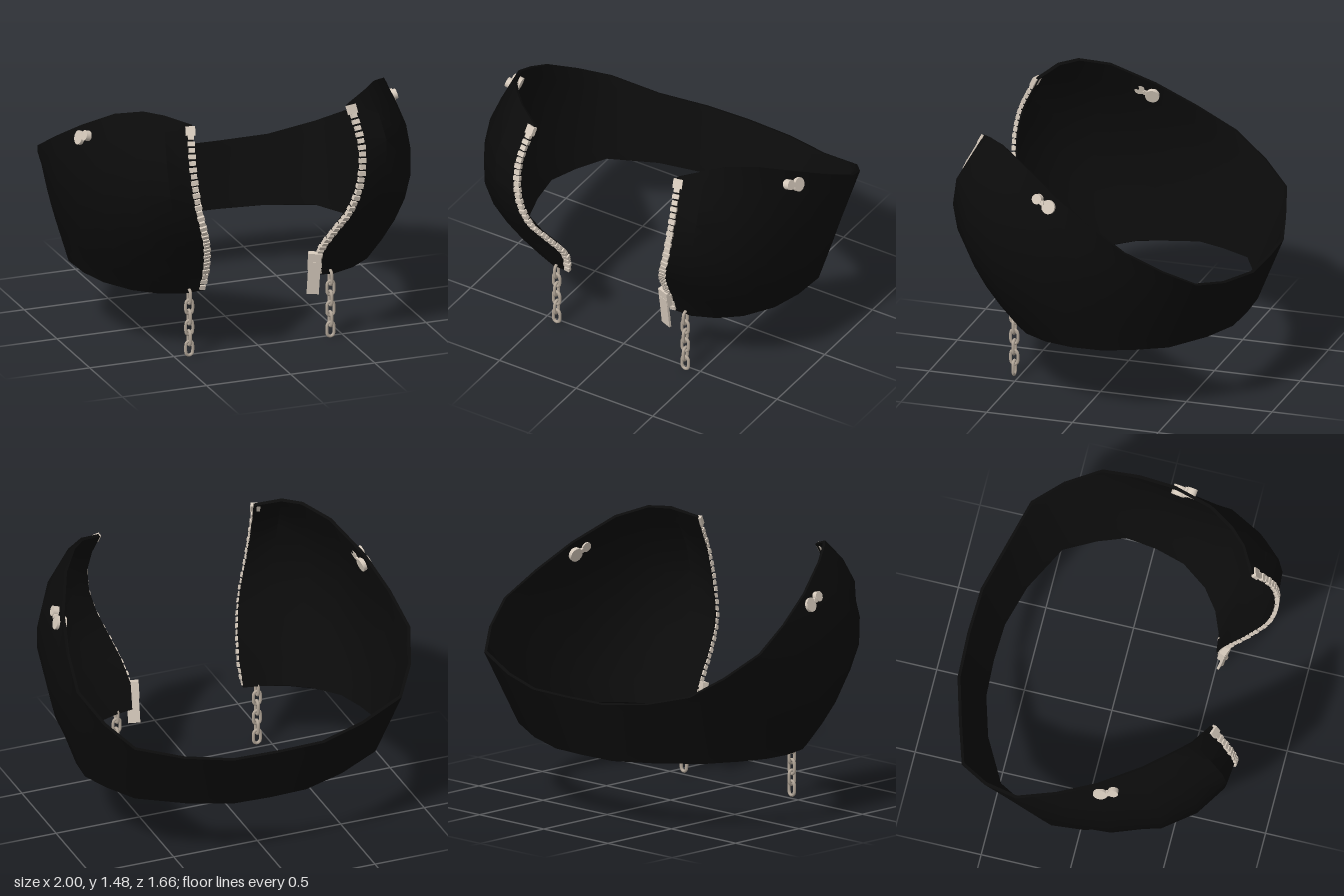
import * as THREE from 'three';
import { toCreasedNormals } from 'three/addons/utils/BufferGeometryUtils.js';

// Bottom-to-top profiles of the garment, from centre back to the front opening
const PROFILES = [
  [[0, .37, -.69], [0, .72, -.825]],
  [[.22, .37, -.68], [.27, .72, -.815]],
  [[.46, .385, -.61], [.54, .75, -.74]],
  [[.72, .4, -.47], [.8, .82, -.66]],
  [[.82, .4, -.29], [.92, .92, -.5]],
  [[.88, .4, -.13], [.96, .74, -.21], [1, 1.04, -.3]],
  [[.86, .39, .05], [.965, .75, .02], [.995, .97, -.02], [.97, 1.17, -.08]],
  [[.81, .385, .22], [.92, .62, .22], [.96, .87, .21], [.95, 1.1, .18], [.91, 1.3, .14]],
  [[.7, .375, .37], [.82, .6, .46], [.9, .86, .51], [.9, 1.15, .47], [.8, 1.43, .37]],
  [[.58, .37, .46], [.69, .6, .59], [.79, .88, .68], [.79, 1.18, .66], [.69, 1.48, .52]],
  [[.45, .37, .515], [.51, .55, .6], [.59, .8, .76], [.64, 1.05, .815], [.65, 1.28, .77], [.6, 1.475, .61]],
  [[.335, .38, .53], [.325, .52, .57], [.37, .7, .7], [.42, .83, .79], [.47, 1, .825], [.49, 1.2, .8], [.465, 1.43, .69]],
].map(p => new THREE.CatmullRomCurve3(p.map(q => new THREE.Vector3(...q))));

const ROWS = 9, THICK = .018;

// Closed shell: outer wall, inner wall, rims and front-edge caps
function shellGeometry() {
  const half = PROFILES.map(c => c.getSpacedPoints(ROWS - 1));
  const mirrored = half.slice(1).reverse().map(col => col.map(p => new THREE.Vector3(-p.x, p.y, p.z)));
  const cols = [...mirrored, ...half], n = cols.length, ring = ROWS * 2;
  const pos = [], index = [];
  cols.forEach((col, i) => {
    const inner = col.map((p, j) => {
      const up = col[Math.min(j + 1, ROWS - 1)].clone().sub(col[Math.max(j - 1, 0)]);
      const along = cols[Math.min(i + 1, n - 1)][j].clone().sub(cols[Math.max(i - 1, 0)][j]);
      return p.clone().addScaledVector(along.cross(up).normalize(), THICK);
    });
    [...col, ...inner.reverse()].forEach(p => pos.push(p.x, p.y, p.z));
  });
  for (let i = 0; i < n - 1; i++) {
    for (let k = 0; k < ring; k++) {
      const l = (k + 1) % ring;
      const a = i * ring + k, b = a + ring, d = i * ring + l, c = d + ring;
      index.push(a, d, c, a, c, b);
    }
  }
  for (let j = 0; j < ROWS - 1; j++) {
    const o = j, o2 = j + 1, q = ring - 1 - j, q2 = q - 1, e = (n - 1) * ring;
    index.push(o, q2, o2, o, q, q2);
    index.push(e + o, e + o2, e + q2, e + o, e + q2, e + q);
  }
  const g = new THREE.BufferGeometry();
  g.setAttribute('position', new THREE.Float32BufferAttribute(pos, 3));
  g.setIndex(index);
  return toCreasedNormals(g, .7);
}

// Oval chain link standing upright in the XY plane
function linkGeometry() {
  const r = .02, h = .021, pts = [];
  for (let i = 0; i < 12; i++) {
    const a = (i + .5) / 12 * Math.PI * 2;
    pts.push(new THREE.Vector3(Math.cos(a) * r, Math.sin(a) * r + Math.sign(Math.sin(a)) * h, 0));
  }
  return new THREE.TubeGeometry(new THREE.CatmullRomCurve3(pts, true), 28, .009, 8, true);
}

export function createModel() {
  const model = new THREE.Group();
  const black = new THREE.MeshStandardMaterial({ color: 0x0b0b0b });
  black.name = 'blackFabric';
  const metal = new THREE.MeshStandardMaterial({ color: 0xd6cabc });
  metal.name = 'paleMetal';
  const steel = new THREE.MeshStandardMaterial({ color: 0xb3a799 });
  steel.name = 'chainMetal';

  const add = (parent, name, geo, mat) => {
    const m = new THREE.Mesh(geo, mat);
    m.name = name;
    parent.add(m);
    return m;
  };
  add(model, 'garmentShell', shellGeometry(), black);

  const edge = PROFILES[11], next = PROFILES[10];
  const toothGeo = new THREE.BoxGeometry(.036, .026, .024);
  const linkGeo = linkGeometry();
  const LINKS = 6, TEETH = 32;

  for (const s of [1, -1]) {
    const side = s > 0 ? 'left' : 'right';

    // Zip teeth following the front edge
    const zip = new THREE.Group();
    zip.name = side + 'Zip';
    for (let i = 0; i < TEETH; i++) {
      const t = .02 + .95 * i / (TEETH - 1);
      const p = edge.getPointAt(t), tan = edge.getTangentAt(t);
      const across = next.getPointAt(t).sub(p);
      across.addScaledVector(tan, -across.dot(tan)).normalize();
      p.addScaledVector(across, .012);
      [p, tan, across].forEach(v => { v.x *= s; });
      if (s < 0) across.negate();
      const normal = across.clone().cross(tan);
      const last = i === TEETH - 1;
      const tooth = add(zip, last ? 'zipStop' : 'zipTooth', toothGeo, metal);
      tooth.quaternion.setFromRotationMatrix(new THREE.Matrix4().makeBasis(across, tan, normal));
      tooth.position.copy(p);
      if (last) tooth.scale.set(1.5, 2, 1.1);
      else tooth.scale.x = i % 2 ? 1.1 : .9;
    }
    model.add(zip);

    // Hanging chain of alternating links
    const chain = new THREE.Group();
    chain.name = side + 'Chain';
    for (let i = 0; i < LINKS; i++) {
      const link = add(chain, 'chainLink', linkGeo, steel);
      link.position.y = .05 + i * .061;
      link.rotation.y = i % 2 ? Math.PI / 2 : 0;
    }
    chain.position.set(s * .42, 0, .53);
    model.add(chain);

    // Pair of studs passing through the upper side
    const out = new THREE.Vector3(s * .95, .28, .12).normalize();
    for (const [x, y, z, r] of [[.912, 1.23, .16, .04], [.902, 1.265, .23, .029], [.907, 1.248, .2, .014]]) {
      const stud = add(model, side + 'Stud', new THREE.CylinderGeometry(r, r, .056, 16), metal);
      stud.position.set(s * x, y, z);
      stud.quaternion.setFromUnitVectors(new THREE.Vector3(0, 1, 0), out);
    }
  }

  // Zip slider and its pull tab on the left edge
  const slider = new THREE.Group();
  slider.name = 'zipSlider';
  add(slider, 'sliderBody', new THREE.BoxGeometry(.075, .1, .035), metal);
  const tab = add(slider, 'pullTab', new THREE.BoxGeometry(.068, .2, .014), metal);
  tab.position.set(0, -.1, .012);
  slider.position.set(.312, .48, .565);
  slider.rotation.set(.15, -.35, 0);
  model.add(slider);
  return model;
}
